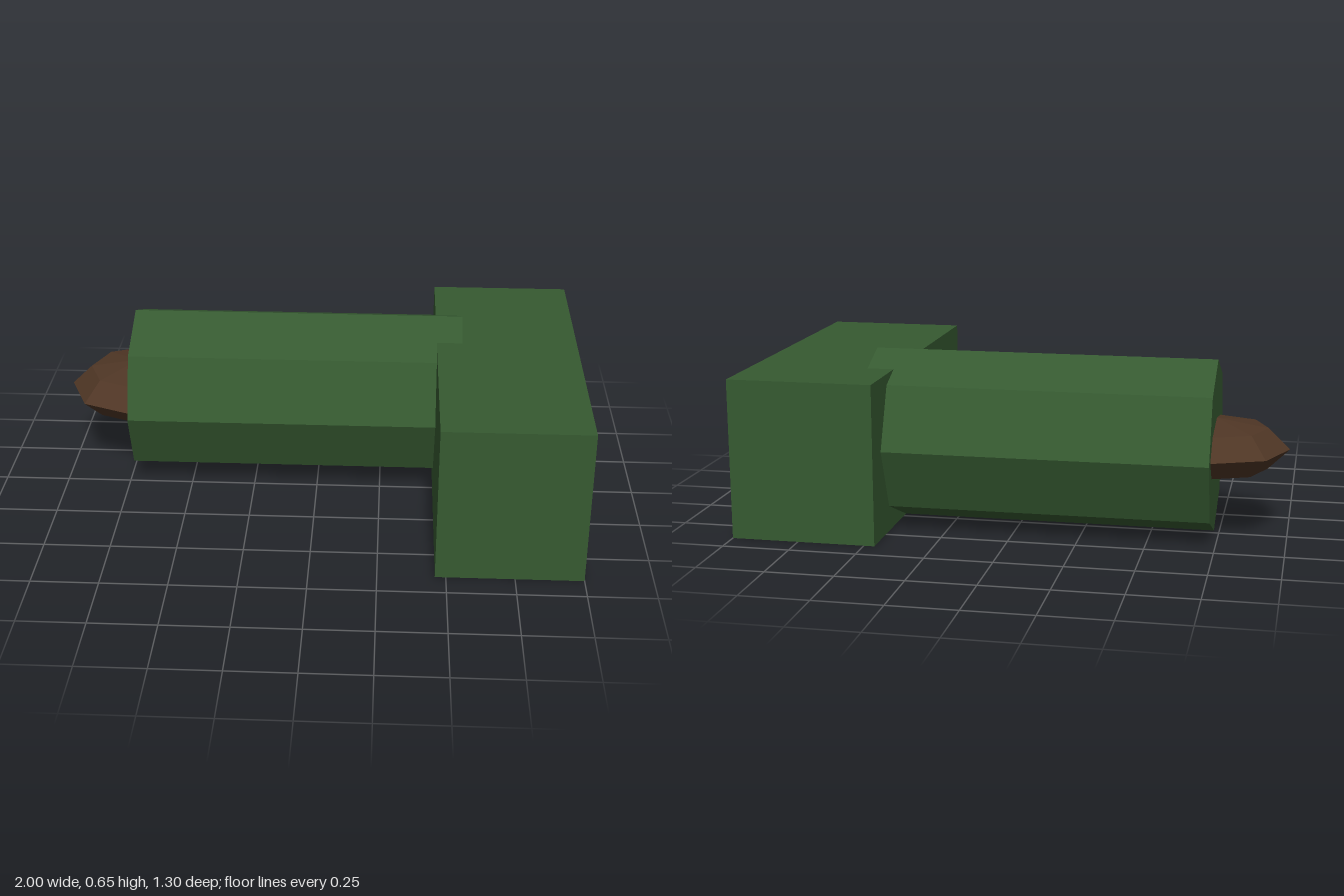
import * as THREE from 'three';

export function createModel() {
  const model = new THREE.Group();
  const paint = (color) => new THREE.MeshStandardMaterial({ color, flatShading: true });
  const green = paint(0x365a31);
  const brown = paint(0x4f3625);

  function addPart(name, geometry, material, x, y, z) {
    const mesh = new THREE.Mesh(geometry, material);
    mesh.name = name;
    mesh.position.set(x, y, z);
    model.add(mesh);
    return mesh;
  }

  // Shared axis of the barrel and its tip
  const axisY = 0.325, axisZ = -0.22;

  // Rectangular block across one end
  addPart('headBlock', new THREE.BoxGeometry(0.54, 0.595, 1.3), green, 0.73, 0.2975, 0);

  // Octagonal barrel along x, sunk a little into the block
  const barrel = new THREE.CylinderGeometry(0.325, 0.325, 1.29, 8).rotateZ(Math.PI / 2);
  addPart('barrel', barrel, green, -0.085, axisY, axisZ);

  // Flattened low-poly sphere, half buried in the barrel end
  const tip = new THREE.SphereGeometry(0.27, 8, 4).scale(1, 0.4, 1);
  addPart('tip', tip, brown, -0.73, axisY, axisZ);

  return model;
}
